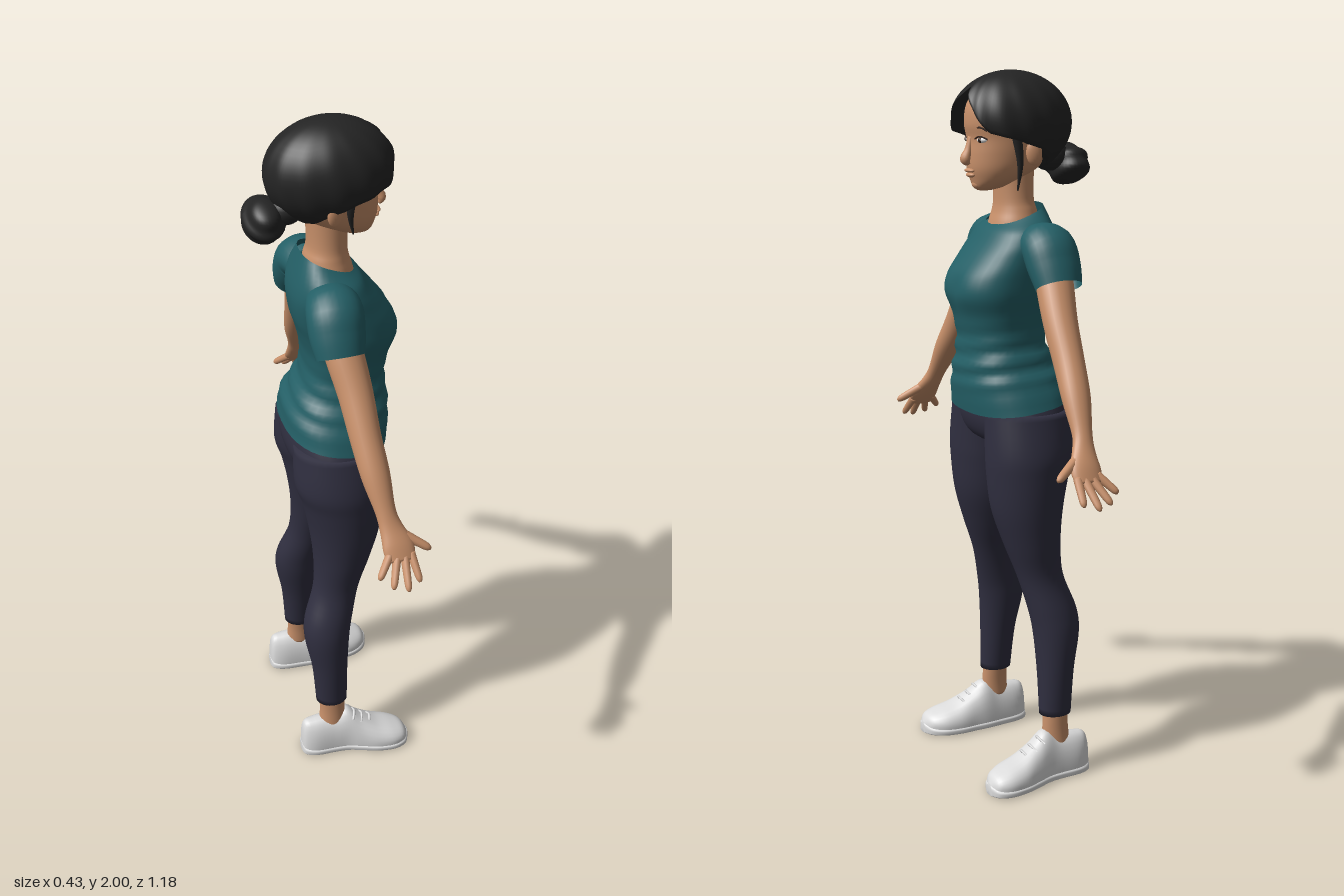
import * as THREE from 'three';

const mat = (name, color, side = THREE.FrontSide) => {
  const m = new THREE.MeshStandardMaterial({ color, side });
  m.name = name;
  return m;
};
const V = (x, y, z) => new THREE.Vector3(x, y, z);
const spow = (v, p) => Math.sign(v) * Math.abs(v) ** p;

// Catmull-Rom refinement of rows of numbers
function refine(rows, n = 5) {
  const out = [], at = i => rows[Math.min(Math.max(i, 0), rows.length - 1)];
  for (let i = 0; i < rows.length - 1; i++) for (let k = 0; k < n; k++) {
    const t = k / n;
    out.push(rows[i].map((b, j) => {
      const a = at(i - 1)[j], c = at(i + 1)[j], d = at(i + 2)[j];
      return b + 0.5 * t * (c - a + t * (2 * a - 5 * b + 4 * c - d + t * (3 * (b - c) + d - a)));
    }));
  }
  out.push(rows[rows.length - 1]);
  return out;
}

// Surface through closed rings of points, facing outward
function skinRings(rings, capStart = true, capEnd = true) {
  const n = rings[0].length, pts = rings.flat(), idx = [];
  const mean = r => r.reduce((s, p) => s.add(p), V(0, 0, 0)).divideScalar(r.length);
  for (let i = 0; i < rings.length - 1; i++) for (let j = 0; j < n; j++) {
    const a = i * n + j, b = i * n + (j + 1) % n;
    idx.push(a, b, a + n, b, b + n, a + n);
  }
  const cap = (start, flip) => {
    const c = pts.push(mean(rings[start / n])) - 1;
    for (let j = 0; j < n; j++) {
      const a = start + j, b = start + (j + 1) % n;
      idx.push(c, flip ? b : a, flip ? a : b);
    }
  };
  if (capStart) cap(0, true);
  if (capEnd) cap((rings.length - 1) * n, false);
  const mid = mean(pts);
  let vol = 0;
  for (let i = 0; i < idx.length; i += 3) {
    const [a, b, c] = [0, 1, 2].map(k => pts[idx[i + k]].clone().sub(mid));
    vol += a.dot(b.cross(c));
  }
  if (vol < 0) idx.reverse();
  const g = new THREE.BufferGeometry().setFromPoints(pts);
  g.setIndex(idx);
  g.computeVertexNormals();
  return g;
}
const ringOf = (n, f) => Array.from({ length: n }, (_, j) => f(j / n * Math.PI * 2));

// Horizontal slices: [y, back x, front x, z0, z1, tilt]
const slices = (rows, { p = 1, warp = q => q, caps = [true, true] } = {}) =>
  skinRings(refine(rows).map(([y, x0, x1, z0, z1, tilt = 0]) => ringOf(36, a => {
    const c = spow(Math.cos(a), p), s = spow(Math.sin(a), p);
    return warp(V((x0 + x1) / 2 + (x1 - x0) / 2 * c, y + tilt * c, (z0 + z1) / 2 + (z1 - z0) / 2 * s));
  })), ...caps);

// Limb along a path: [x, y, z, radius along x, radius across]
function limb(rows, n = 16, caps = [true, true]) {
  const r = refine(rows);
  return skinRings(r.map((q, i) => {
    const a = r[Math.max(i - 1, 0)], b = r[Math.min(i + 1, r.length - 1)];
    const t = V(b[0] - a[0], b[1] - a[1], b[2] - a[2]).normalize();
    const v = V(1, 0, 0).cross(t).normalize(), u = t.clone().cross(v);
    return ringOf(n, w => V(q[0], q[1], q[2]).addScaledVector(u, q[3] * Math.cos(w)).addScaledVector(v, q[4] * Math.sin(w)));
  }), ...caps);
}

// Shoe sections along x: [x, centre z, half width, top, base]
const shoeSkin = (rows, s) => skinRings(refine(rows).map(([x, zc, w, top]) => ringOf(24, a => {
  const sn = Math.sin(a), low = Math.min(0.028, top * 0.5);
  const y = sn > 0 ? low + (top - low) * sn : low * (1 - Math.abs(sn) ** 0.35);
  return V(x, y, s * (zc + w * spow(Math.cos(a), sn > 0 ? 0.85 : 0.4)));
})));

export function createModel() {
  const group = new THREE.Group();
  const skin = mat('skin', 0xc8906a), shirt = mat('teal cloth', 0x245f66, THREE.DoubleSide);
  const navy = mat('navy cloth', 0x302f40), hair = mat('black hair', 0x242424, THREE.DoubleSide);
  const white = mat('white', 0xdcdcdc), dark = mat('dark brown', 0x2a1a14);
  const add = (name, geo, m) => {
    const mesh = new THREE.Mesh(geo, m);
    mesh.name = name;
    group.add(mesh);
    return mesh;
  };
  const ball = (name, m, p, r, ry = 0) => {
    const b = add(name, new THREE.SphereGeometry(1, 20, 14), m);
    b.position.set(...p); b.scale.set(...r); b.rotation.y = ry;
    return b;
  };

  // Shirt body, with soft folds round the waist
  const torso = [
    [1.09, -0.118, 0.17, 0.2, -0.02], [1.15, -0.112, 0.178, 0.178, -0.015], [1.2, -0.088, 0.176, 0.154, -0.01],
    [1.27, -0.06, 0.168, 0.133, 0], [1.34, -0.058, 0.18, 0.135, 0], [1.4, -0.07, 0.202, 0.145, 0],
    [1.45, -0.085, 0.192, 0.148, 0], [1.5, -0.092, 0.155, 0.15, 0], [1.54, -0.09, 0.122, 0.15, 0],
    [1.578, -0.08, 0.098, 0.135, -0.006], [1.615, -0.062, 0.08, 0.088, -0.027],
  ].map(([y, a, b, w, t]) => [y, a, b, -w, w, t]);
  add('shirt', slices(torso, {
    p: 0.82, caps: [false, false],
    warp: q => {
      const k = Math.exp(-(((q.y - 1.22) / 0.07) ** 2)) * 0.004 * Math.sin(q.y * 110 + q.z * 14 + q.x * 9);
      const cleft = q.x > 0.05 ? 0.012 * Math.exp(-(((q.y - 1.42) / 0.045) ** 2) - (q.z / 0.03) ** 2) : 0;
      q.x += k * Math.sign(q.x - 0.04) - cleft;
      q.z += k * Math.sign(q.z);
      return q;
    },
  }), shirt);

  // Hips and neck
  add('hips', slices([[0.962, -0.03, 0.06, -0.04, 0.04], [0.99, -0.09, 0.125, -0.18, 0.18],
    [1.05, -0.113, 0.152, -0.208, 0.208], [1.13, -0.105, 0.15, -0.175, 0.175]], { p: 0.9 }), navy);
  add('neck', slices([[1.75, -0.045, 0.07, -0.055, 0.055], [1.66, -0.042, 0.067, -0.061, 0.061],
    [1.625, -0.05, 0.07, -0.07, 0.07], [1.595, -0.055, 0.079, -0.079, 0.079], [1.56, -0.06, 0.088, -0.085, 0.085]]), skin);

  // Head and facial features
  const head = [[1.681, 0.08, 0.122, 0.018], [1.69, 0.045, 0.132, 0.04], [1.71, 0, 0.139, 0.066], [1.74, -0.055, 0.147, 0.086],
    [1.78, -0.09, 0.148, 0.097], [1.82, -0.1, 0.146, 0.102], [1.86, -0.11, 0.153, 0.104], [1.91, -0.1, 0.146, 0.098],
    [1.95, -0.06, 0.115, 0.075], [1.97, -0.01, 0.07, 0.04]];
  add('head', slices(head.map(([y, a, b, w]) => [y, a, b, -w, w])), skin);
  add('nose', limb([[0.143, 1.825, 0, 0.006, 0.008], [0.15, 1.79, 0, 0.01, 0.011], [0.159, 1.766, 0, 0.014, 0.016],
    [0.152, 1.752, 0, 0.007, 0.012]], 14), skin);
  ball('upperLip', skin, [0.146, 1.735, 0], [0.011, 0.006, 0.024]);
  ball('lowerLip', skin, [0.143, 1.723, 0], [0.011, 0.007, 0.021]);
  ball('chin', skin, [0.12, 1.698, 0], [0.017, 0.015, 0.023]);

  for (const s of [1, -1]) {
    const side = s > 0 ? 'right' : 'left';
    ball(side + 'Eye', white, [0.129, 1.817, s * 0.042], [0.009, 0.008, 0.018], -s * 0.4);
    ball(side + 'Iris', dark, [0.134, 1.817, s * 0.042], [0.006, 0.007, 0.007], -s * 0.4);
    const arc = (name, y, lift, r, x) => add(side + name, new THREE.TubeGeometry(new THREE.CatmullRomCurve3([
      V(x + 0.004, y, s * 0.024), V(x, y + lift, s * 0.044), V(x - 0.015, y - 0.001, s * 0.064)]), 10, r, 6), dark);
    arc('Lashes', 1.82, 0.007, 0.0022, 0.137);
    arc('Brow', 1.843, 0.008, 0.003, 0.138);
    ball(side + 'Ear', skin, [0.005, 1.785, s * 0.106], [0.022, 0.035, 0.012], s * 0.3);

    // Arm, hand and sleeve
    const mir = rows => rows.map(([x, y, z, ...r]) => [x, y, s * z, ...r]);
    add(side + 'Sleeve', limb(mir([[-0.005, 1.54, 0.09, 0.065, 0.05], [-0.01, 1.535, 0.155, 0.076, 0.064],
      [-0.012, 1.485, 0.19, 0.075, 0.062], [-0.011, 1.434, 0.219, 0.066, 0.053]]), 28, [true, false]), shirt);
    add(side + 'Arm', limb(mir([[-0.01, 1.5, 0.175, 0.052, 0.045], [0, 1.435, 0.217, 0.052, 0.047], [0.014, 1.35, 0.272, 0.047, 0.045],
      [0.023, 1.255, 0.335, 0.042, 0.042], [0.034, 1.17, 0.395, 0.039, 0.035], [0.046, 1.09, 0.447, 0.028, 0.023],
      [0.055, 1.05, 0.472, 0.032, 0.02], [0.066, 1.01, 0.502, 0.043, 0.018], [0.068, 0.977, 0.526, 0.039, 0.012]]), 24), skin);
    [[0.036, 0.99, 0.518, 0, 0.95, 0.555], [0.056, 0.984, 0.524, 0.032, 0.93, 0.578], [0.078, 0.982, 0.526, 0.071, 0.922, 0.588],
      [0.098, 0.986, 0.52, 0.108, 0.932, 0.57], [0.08, 1.035, 0.482, 0.153, 0.99, 0.513]].forEach(([x, y, z, X, Y, Z], i) => {
      const r = i === 4 ? 0.0125 : 0.0108;
      const row = (t, k) => [x + (X - x) * t, y + (Y - y) * t, z + (Z - z) * t, r * k, r * k];
      add(side + (i === 4 ? 'Thumb' : 'Finger' + (i + 1)), limb(mir([row(-0.1, 1.1), row(0.4, 1), row(0.85, 0.85), row(1, 0.35)]), 10), skin);
    });

    // Trouser leg and ankle
    const leg = [[1.08, -0.108, 0.148, 0.0, 0.202], [0.97, -0.11, 0.15, 0.0, 0.228], [0.9, -0.09, 0.147, 0.004, 0.228],
      [0.8, -0.07, 0.135, 0.015, 0.222], [0.7, -0.06, 0.105, 0.045, 0.212], [0.6, -0.065, 0.07, 0.08, 0.204],
      [0.5, -0.097, 0.045, 0.1, 0.228], [0.43, -0.1, 0.034, 0.11, 0.238], [0.32, -0.08, 0.027, 0.13, 0.237],
      [0.19, -0.07, 0.025, 0.15, 0.231]];
    const flip = rows => rows.map(([y, a, b, c, d]) => [y, a, b, s * c, s * d]);
    add(side + 'TrouserLeg', slices(flip(leg)), navy);
    add(side + 'Ankle', slices(flip([[0.21, -0.062, 0.015, 0.16, 0.222], [0.15, -0.06, 0.018, 0.165, 0.225],
      [0.1, -0.065, 0.02, 0.165, 0.23]])), skin);

    // Shoe, sole and laces
    const shoe = [[-0.121, 0.2, 0.01, 0.06], [-0.113, 0.2, 0.03, 0.112], [-0.08, 0.2, 0.044, 0.122], [-0.02, 0.199, 0.047, 0.128],
      [0.02, 0.2, 0.05, 0.145], [0.06, 0.207, 0.056, 0.115], [0.11, 0.215, 0.064, 0.085], [0.16, 0.222, 0.061, 0.068],
      [0.195, 0.227, 0.042, 0.053], [0.21, 0.229, 0.012, 0.03]];
    add(side + 'Shoe', shoeSkin(shoe, s), white);
    add(side + 'Sole', shoeSkin(shoe.map(([x, z, w]) => [x * 1.01, z, w + 0.004, 0.03]), s), white);
    [[0.045, 0.131], [0.07, 0.112], [0.095, 0.098]].forEach(([x, y], i) => add(side + 'Lace' + (i + 1),
      new THREE.TubeGeometry(new THREE.CatmullRomCurve3([V(x - 0.01, y - 0.012, s * 0.182), V(x, y, s * 0.208),
        V(x - 0.01, y - 0.012, s * 0.238)]), 8, 0.004, 6), white));
  }

  // Hair swept from a front parting, with a lower edge that follows the face and ears
  const edge = [[0, 1.958], [22, 1.9], [42, 1.838], [75, 1.815], [100, 1.79], [130, 1.745], [180, 1.735]];
  const edgeY = a => {
    const d = Math.abs(THREE.MathUtils.radToDeg(Math.atan2(Math.sin(a), Math.cos(a))));
    const i = Math.min(edge.findIndex(e => e[0] >= d - 1e-4) || 1, edge.length - 1);
    const [p, q] = [edge[i - 1], edge[i]];
    return p[1] + (q[1] - p[1]) * (d - p[0]) / (q[0] - p[0]);
  };
  const hairRings = [];
  for (let i = 0; i <= 24; i++) {
    const t = Math.min(i, 22) / 22, inner = i > 22 ? 1 - 0.1 * (i - 22) : 1;
    hairRings.push(ringOf(96, a => {
      const low = Math.asin((edgeY(a + 0.1) - 1.858) / 0.142);
      const e = Math.PI / 2 + (low - Math.PI / 2) * (0.03 + 0.97 * t);
      const r = Math.cos(e) * inner * (1 + 0.016 * t * Math.sin(a * 14 + t * 5));
      return V(0.02 + 0.174 * r * Math.cos(a), 1.858 + 0.142 * Math.sin(e), 0.134 * r * Math.sin(a));
    }));
  }
  add('hair', skinRings(hairRings, true, false), hair);

  // Bun with coiled ridges
  const bun = new THREE.SphereGeometry(1, 40, 28), pos = bun.attributes.position;
  for (let i = 0; i < pos.count; i++) {
    const q = V(0, 0, 0).fromBufferAttribute(pos, i);
    q.multiplyScalar(1 + 0.05 * Math.sin(q.y * 7 + q.z * 5));
    pos.setXYZ(i, q.x, q.y, q.z);
  }
  bun.scale(0.056, 0.058, 0.077).translate(-0.157, 1.742, 0);
  bun.computeVertexNormals();
  add('hairBun', bun, hair);
  ball('bunBase', hair, [-0.1, 1.77, 0], [0.05, 0.045, 0.055]);

  // Loose locks beside the ears
  add('rightLock', limb([[0.05, 1.84, 0.108, 0.016, 0.008], [0.045, 1.78, 0.108, 0.009, 0.006], [0.055, 1.72, 0.1, 0.002, 0.002]], 8), hair);
  add('leftLock', limb([[0.06, 1.84, -0.107, 0.016, 0.008], [0.05, 1.76, -0.112, 0.01, 0.007], [0.055, 1.685, -0.107, 0.002, 0.002]], 8), hair);
  return group;
}
